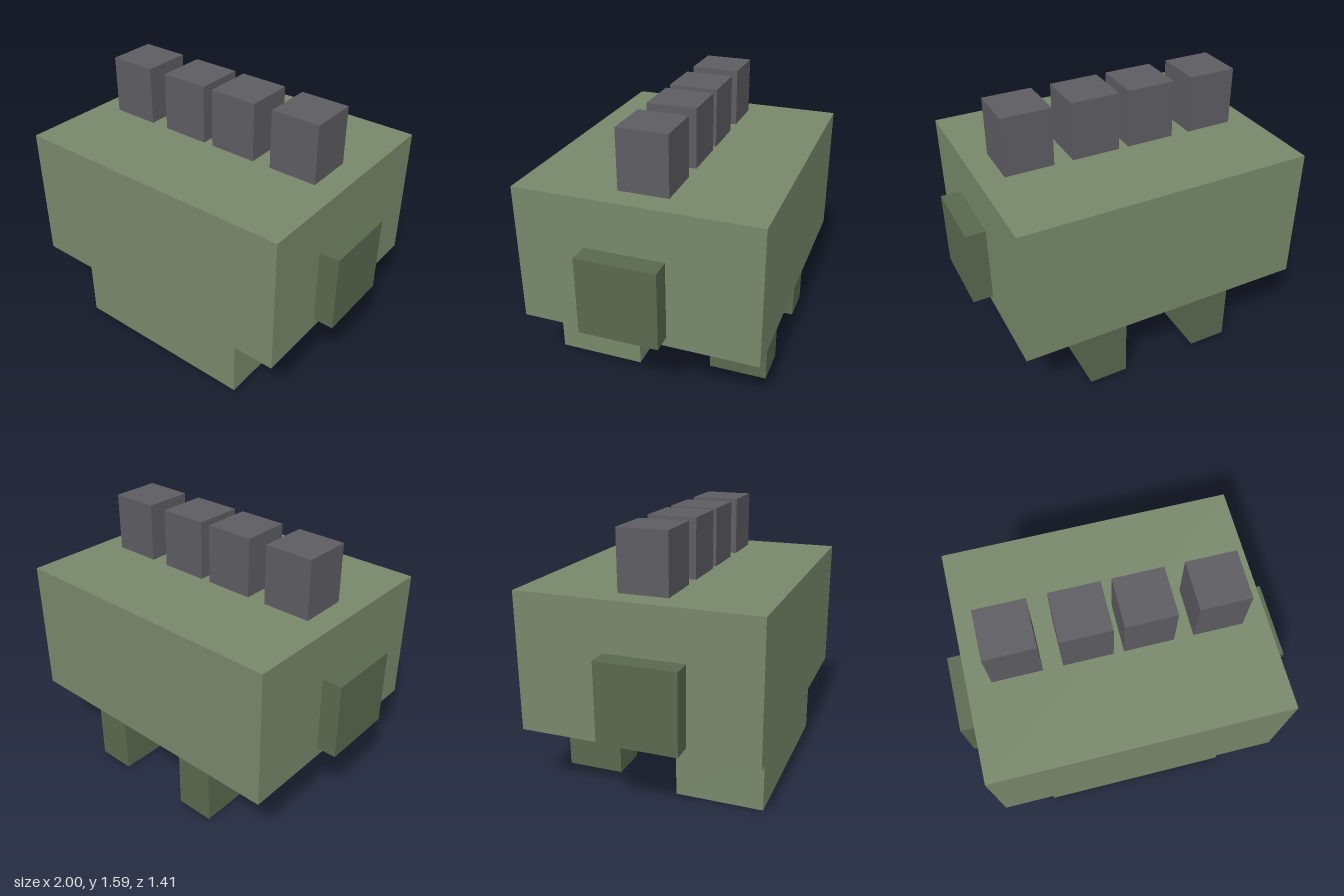
import * as THREE from 'three';

export function createModel() {
  const model = new THREE.Group();
  const material = (name, color) => {
    const m = new THREE.MeshStandardMaterial({ color });
    m.name = name;
    return m;
  };
  const green = material('light green', 0x78886a);
  const darkGreen = material('dark green', 0x5a684e);
  const grey = material('grey', 0x5d5c61);

  // Box given by its extents along each axis
  const block = (name, mat, [x0, x1], [y0, y1], [z0, z1]) => {
    const mesh = new THREE.Mesh(new THREE.BoxGeometry(x1 - x0, y1 - y0, z1 - z0), mat);
    mesh.position.set((x0 + x1) / 2, (y0 + y1) / 2, (z0 + z1) / 2);
    mesh.name = name;
    model.add(mesh);
  };

  // Main body, the slab beneath it and the wide front foot
  block('body', green, [-0.88, 0.88], [0.414, 1.237], [-0.705, 0.705]);
  block('underSlab', darkGreen, [-0.645, 0.645], [0.297, 0.414], [-0.41, 0.41]);
  block('frontFoot', green, [-0.587, 0.587], [0, 0.414], [0.12, 0.647]);

  // Side plates and rear legs, mirrored
  for (const s of [-1, 1]) {
    const side = s > 0 ? 'left' : 'right';
    const mirror = (a, b) => (s > 0 ? [a, b] : [-b, -a]);
    block(side + 'SidePlate', darkGreen, mirror(0.88, 1), [0.473, 0.943], [-0.176, 0.294]);
    block(side + 'RearLeg', darkGreen, mirror(0.236, 0.47), [0, 0.414], [-0.646, -0.294]);
  }

  // Row of blocks along the top
  [-0.59, -0.18, 0.175, 0.585].forEach((x, i) =>
    block('topBlock' + (i + 1), grey, [x - 0.147, x + 0.147], [1.237, 1.59], [-0.147, 0.147]));

  return model;
}
